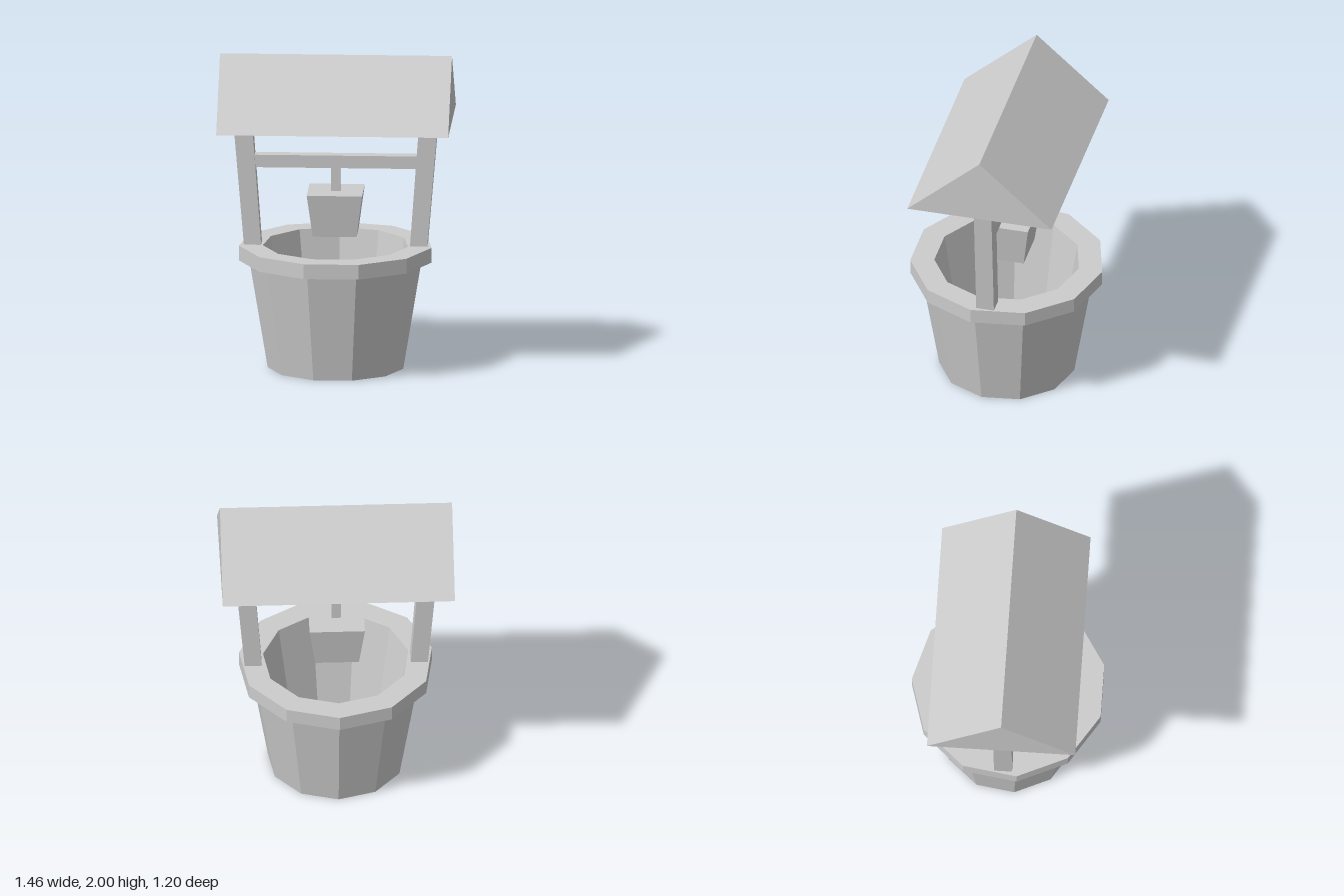
import * as THREE from 'three';

const CZ = 0.012; // depth of the shared centre line
const SIDES = 11;

const stone = new THREE.MeshStandardMaterial({ color: 0xcccccc, flatShading: true });
stone.name = 'light grey';

function part(name, geometry) {
  const mesh = new THREE.Mesh(geometry, stone);
  mesh.name = name;
  return mesh;
}

// Eleven-sided turned part with one corner pointing to the back
function ring(name, profile) {
  const points = profile.map(([r, y]) => new THREE.Vector2(r, y));
  const mesh = part(name, new THREE.LatheGeometry(points, SIDES, Math.PI));
  mesh.position.z = CZ;
  return mesh;
}

// Box between two levels; each end is { x: [min, max], z: half depth }
function taperedBox(name, y0, y1, bottom, top) {
  const geometry = new THREE.BoxGeometry(1, 1, 1);
  const p = geometry.attributes.position;
  for (let i = 0; i < p.count; i++) {
    const upper = p.getY(i) > 0;
    const end = upper ? top : bottom;
    p.setXYZ(i, end.x[p.getX(i) > 0 ? 1 : 0], upper ? y1 : y0, CZ + Math.sign(p.getZ(i)) * end.z);
  }
  geometry.computeVertexNormals();
  return part(name, geometry);
}

export function createModel() {
  const model = new THREE.Group();
  model.name = 'well';

  // Well: tapered outer wall, overhanging rim and hollow shaft
  model.add(
    ring('outerWall', [[0, 0], [0.43, 0], [0.545, 0.69]]),
    ring('rim', [[0.545, 0.69], [0.611, 0.69], [0.611, 0.785], [0.46, 0.785]]),
    ring('innerShaft', [[0.46, 0.785], [0.35, 0.1], [0, 0.1]])
  );

  // Posts leaning outwards
  for (const [name, side] of [['leftPost', 1], ['rightPost', -1]]) {
    const span = (a, b) => (side > 0 ? [a, b] : [-b, -a]);
    model.add(taperedBox(name, 0.785, 1.58,
      { x: span(0.467, 0.575), z: 0.057 }, { x: span(0.525, 0.642), z: 0.057 }));
  }

  // Crossbar, rope and bucket
  const bar = { x: [-0.51, 0.51], z: 0.04 };
  const rope = { x: [-0.031, 0.028], z: 0.03 };
  model.add(
    taperedBox('crossbar', 1.28, 1.36, bar, bar),
    taperedBox('rope', 1.13, 1.28, rope, rope),
    taperedBox('bucket', 0.86, 1.13, { x: [-0.139, 0.136], z: 0.138 }, { x: [-0.175, 0.172], z: 0.174 })
  );

  // Solid gable roof
  const gable = new THREE.Shape([
    new THREE.Vector2(-0.466, 1.58), new THREE.Vector2(0.466, 1.58), new THREE.Vector2(0, 2)
  ]);
  const roof = part('roof', new THREE.ExtrudeGeometry(gable, { depth: 1.456, bevelEnabled: false })
    .translate(0, 0, -0.728).rotateY(Math.PI / 2));
  roof.position.z = CZ - 0.002;
  model.add(roof);

  return model;
}
